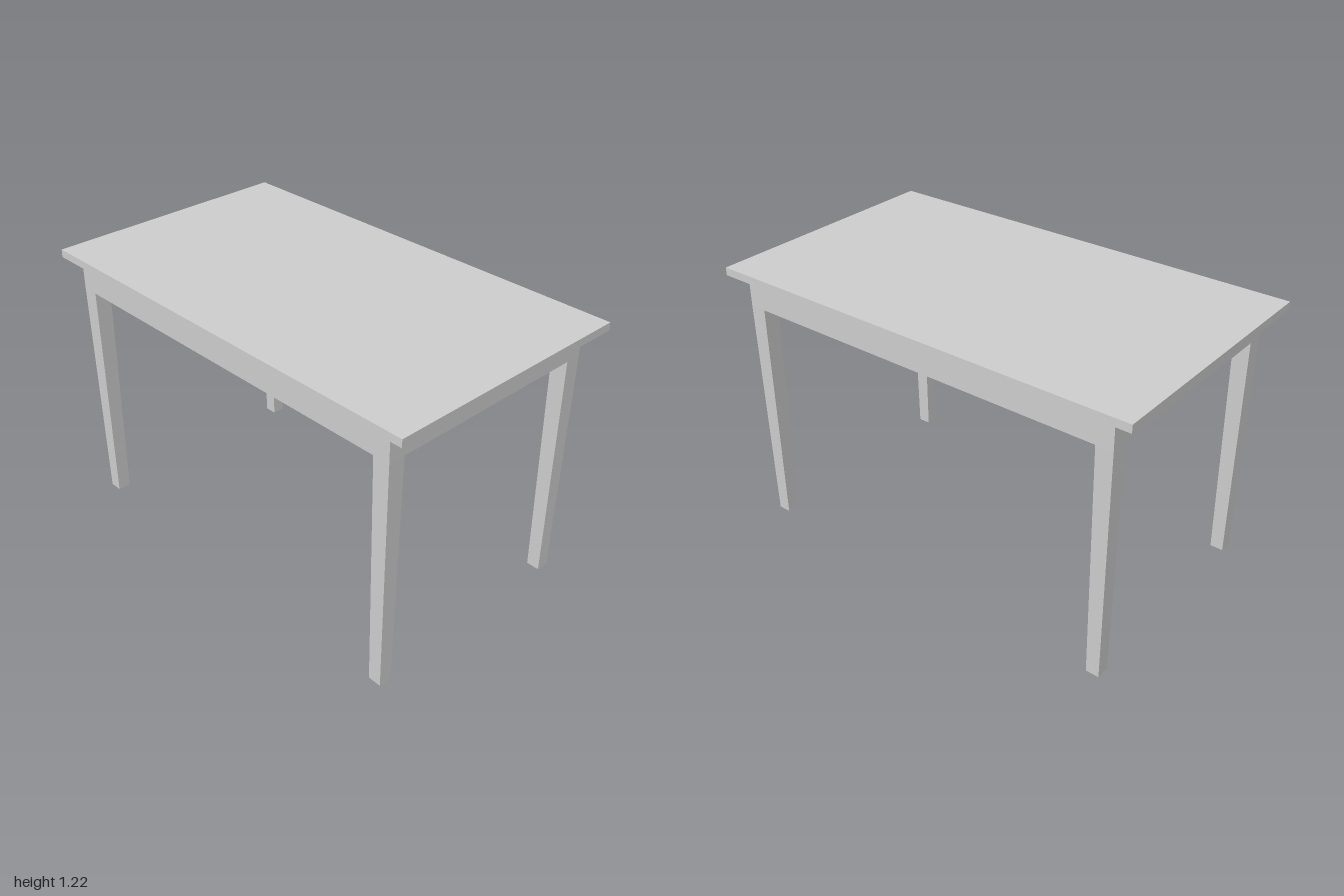
import * as THREE from 'three';

const TOP_Y = 1.22, TOP_T = 0.035;          // table top height and thickness
const FRAME_Y = TOP_Y - TOP_T;              // underside of the top
const APRON_Y = 1.055, APRON_T = 0.037;     // apron lower edge and thickness
const LEG_X = 0.873, LEG_Z = 0.498;         // leg centres
const LEG_W = 0.075, FOOT_W = 0.059;        // leg width at apron and at floor

export function createModel() {
  const group = new THREE.Group();
  const material = new THREE.MeshStandardMaterial({ color: 0xcccccc, flatShading: true });

  const add = (name, geometry, x, y, z) => {
    const mesh = new THREE.Mesh(geometry, material);
    mesh.name = name;
    mesh.position.set(x, y, z);
    group.add(mesh);
  };

  add('tableTop', new THREE.BoxGeometry(2, TOP_T, 1.154), 0, TOP_Y - TOP_T / 2, 0);

  // Square leg: straight beside the aprons, tapering from there to the floor
  const legGeometry = new THREE.BoxGeometry(LEG_W, FRAME_Y, LEG_W, 1, 2, 1);
  legGeometry.translate(0, FRAME_Y / 2, 0);
  const p = legGeometry.attributes.position;
  for (let i = 0; i < p.count; i++) {
    const y = p.getY(i);
    if (y < 0.01) {
      p.setX(i, Math.sign(p.getX(i)) * FOOT_W / 2);
      p.setZ(i, Math.sign(p.getZ(i)) * FOOT_W / 2);
    } else if (y < FRAME_Y - 0.01) {
      p.setY(i, APRON_Y);
    }
  }
  legGeometry.computeVertexNormals();

  for (const [sx, side] of [[1, 'Left'], [-1, 'Right']]) {
    for (const [sz, end] of [[1, 'front'], [-1, 'back']]) {
      add(`${end}${side}Leg`, legGeometry, sx * LEG_X, 0, sz * LEG_Z);
    }
  }

  // Aprons run between the legs, flush with their outer faces
  const apronH = FRAME_Y - APRON_Y;
  const apronMid = (FRAME_Y + APRON_Y) / 2;
  const inset = (LEG_W - APRON_T) / 2;
  const longApron = new THREE.BoxGeometry(2 * LEG_X - LEG_W, apronH, APRON_T);
  const shortApron = new THREE.BoxGeometry(APRON_T, apronH, 2 * LEG_Z - LEG_W);
  for (const s of [1, -1]) {
    add(s > 0 ? 'frontApron' : 'backApron', longApron, 0, apronMid, s * (LEG_Z + inset));
    add(s > 0 ? 'leftApron' : 'rightApron', shortApron, s * (LEG_X + inset), apronMid, 0);
  }

  return group;
}
